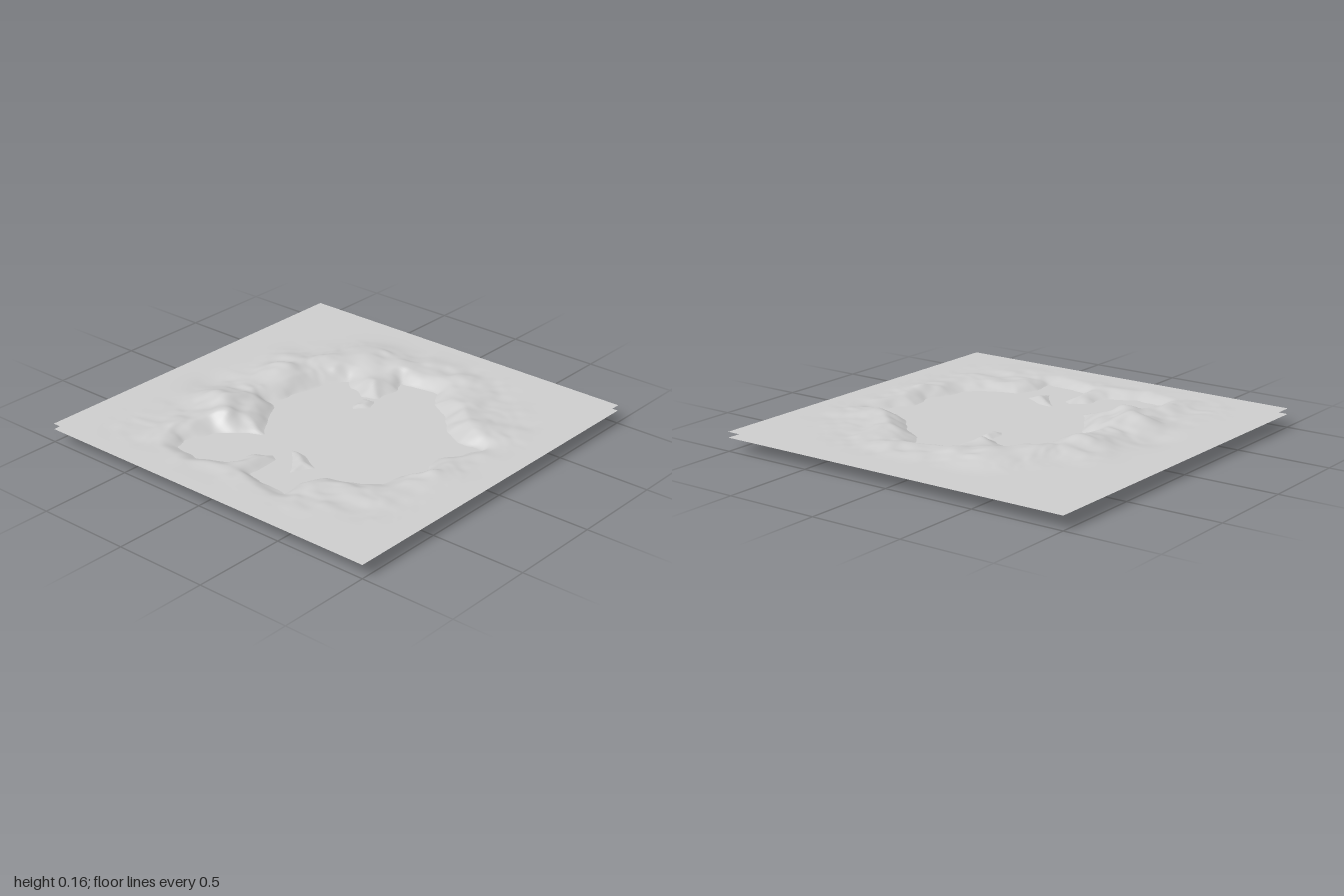
import * as THREE from 'three';

const GROUND = 0.1, WATER = 0.07;

// Shoreline of the lake and of its islands, as x, z points
const RINGS = [
  [[0.75, -0.2], [0.7, -0.1], [0.64, 0], [0.67, 0.14], [0.62, 0.26], [0.6, 0.38], [0.52, 0.45], [0.35, 0.5],
    [0.3, 0.62], [0.32, 0.75], [0.15, 0.73], [0.06, 0.7], [0.05, 0.53], [0, 0.49], [-0.06, 0.55], [-0.1, 0.69],
    [-0.25, 0.77], [-0.4, 0.74], [-0.42, 0.67], [-0.36, 0.52], [-0.28, 0.42], [-0.17, 0.36], [-0.23, 0.29],
    [-0.28, 0.2], [-0.34, 0.12], [-0.4, 0.08], [-0.37, -0.02], [-0.34, -0.15], [-0.33, -0.25], [-0.25, -0.37],
    [-0.19, -0.32], [-0.07, -0.28], [0, -0.32], [0.01, -0.45], [-0.02, -0.53], [0.2, -0.56], [0.26, -0.45],
    [0.4, -0.37], [0.5, -0.25], [0.6, -0.2]],
  [[-0.05, -0.27], [0, -0.28], [0.02, -0.2], [-0.02, -0.14], [-0.05, -0.17]],
  [[0.04, 0.41], [0.13, 0.4], [0.26, 0.47], [0.2, 0.57], [0.13, 0.49]],
];

// Hills and hollows around the lake: x, z, height, radius
const HILLS = [
  [-0.53, 0.28, 0.05, 0.13], [-0.53, -0.15, 0.058, 0.13], [-0.4, 0.42, 0.035, 0.1], [-0.5, 0.05, 0.02, 0.12],
  [-0.42, -0.4, 0.034, 0.13], [-0.3, -0.62, 0.036, 0.15], [-0.02, -0.66, 0.024, 0.14], [0.2, -0.68, 0.016, 0.12],
  [0.45, -0.45, 0.018, 0.11], [0.6, -0.3, 0.018, 0.11], [0.73, 0.2, 0.016, 0.12], [0.48, 0.58, 0.008, 0.1],
  [-0.48, 0.62, 0.016, 0.12], [-0.1, -0.38, 0.014, 0.07], [-0.76, 0.12, -0.018, 0.12], [-0.68, -0.32, 0.01, 0.1],
];

// Signed distance to the shoreline: positive on land, negative in water
function shoreDistance(x, z) {
  let best = Infinity, wet = false;
  for (const ring of RINGS) {
    ring.forEach(([ax, az], i) => {
      const [bx, bz] = ring[(i + 1) % ring.length];
      const dx = bx - ax, dz = bz - az;
      const t = THREE.MathUtils.clamp(((x - ax) * dx + (z - az) * dz) / (dx * dx + dz * dz), 0, 1);
      best = Math.min(best, Math.hypot(x - ax - t * dx, z - az - t * dz));
      if ((az > z) !== (bz > z) && x < ax + dx * (z - az) / dz) wet = !wet;
    });
  }
  return wet ? -best : best;
}

// Smooth repeatable noise between -1 and 1
function hash(i, j) {
  const s = Math.sin(i * 127.1 + j * 311.7) * 43758.5453;
  return (s - Math.floor(s)) * 2 - 1;
}
function noise(x, z) {
  const i = Math.floor(x), j = Math.floor(z);
  const u = THREE.MathUtils.smootherstep(x - i, 0, 1), v = THREE.MathUtils.smootherstep(z - j, 0, 1);
  const mix = THREE.MathUtils.lerp;
  return mix(mix(hash(i, j), hash(i + 1, j), u), mix(hash(i, j + 1), hash(i + 1, j + 1), u), v);
}
function rough(x, z) {
  const w = noise(x * 5 + 9, z * 5) * 0.06;
  return noise((x + w) * 8, (z - w) * 8) * 0.65 + noise((x - w) * 17 + 5, (z + w) * 17) * 0.35;
}

function groundHeight(x, z) {
  const smooth = THREE.MathUtils.smoothstep;
  const wx = x + noise(x * 14, z * 14 + 3) * 0.012, wz = z + noise(x * 14 + 7, z * 14) * 0.012;
  const d = shoreDistance(wx, wz);
  if (d < 0) {
    // lake bed with a low sunken ridge, flattened at the bottom
    const deep = Math.min(1, -d / 0.1);
    const ridge = 0.03 * Math.exp(-(((z + 0.19) / 0.05) ** 2));
    const bed = WATER * (1 - Math.min(1, -d / 0.2)) + (ridge + rough(x, z) * 0.016) * deep;
    return THREE.MathUtils.clamp(bed, 0, WATER - 0.002 * deep);
  }
  // banks rising to the plain, with hills that fade towards the border
  const edge = 1 - smooth(Math.max(Math.abs(x), Math.abs(z)), 0.72, 0.97);
  const bank = Math.min(1, d / 0.09);
  let hills = 0;
  for (const [hx, hz, h, r] of HILLS) hills += h * Math.exp(-((x - hx) ** 2 + (z - hz) ** 2) / (r * r));
  const bumps = rough(x, z) * (0.011 + 0.2 * Math.max(0, hills)) * (1 - smooth(d, 0.2, 0.5));
  const rise = (GROUND - WATER) * Math.sin(bank * Math.PI / 2);
  return WATER + rise + (hills + bumps) * bank * edge;
}

export function createModel() {
  const group = new THREE.Group();
  const stone = new THREE.MeshStandardMaterial({ color: 0xcccccc, side: THREE.DoubleSide });
  stone.name = 'pale grey';

  // Ground sheet shaped into a lake basin
  const land = new THREE.PlaneGeometry(2, 2, 180, 180).rotateX(-Math.PI / 2);
  const p = land.attributes.position;
  for (let i = 0; i < p.count; i++) p.setY(i, groundHeight(p.getX(i), p.getZ(i)));
  land.computeVertexNormals();
  const terrain = new THREE.Mesh(land, stone);
  terrain.name = 'terrain';

  // Flat water sheet
  const water = new THREE.Mesh(new THREE.PlaneGeometry(2, 2).rotateX(-Math.PI / 2), stone);
  water.name = 'waterSurface';
  water.position.y = WATER;

  group.add(terrain, water);
  return group;
}
